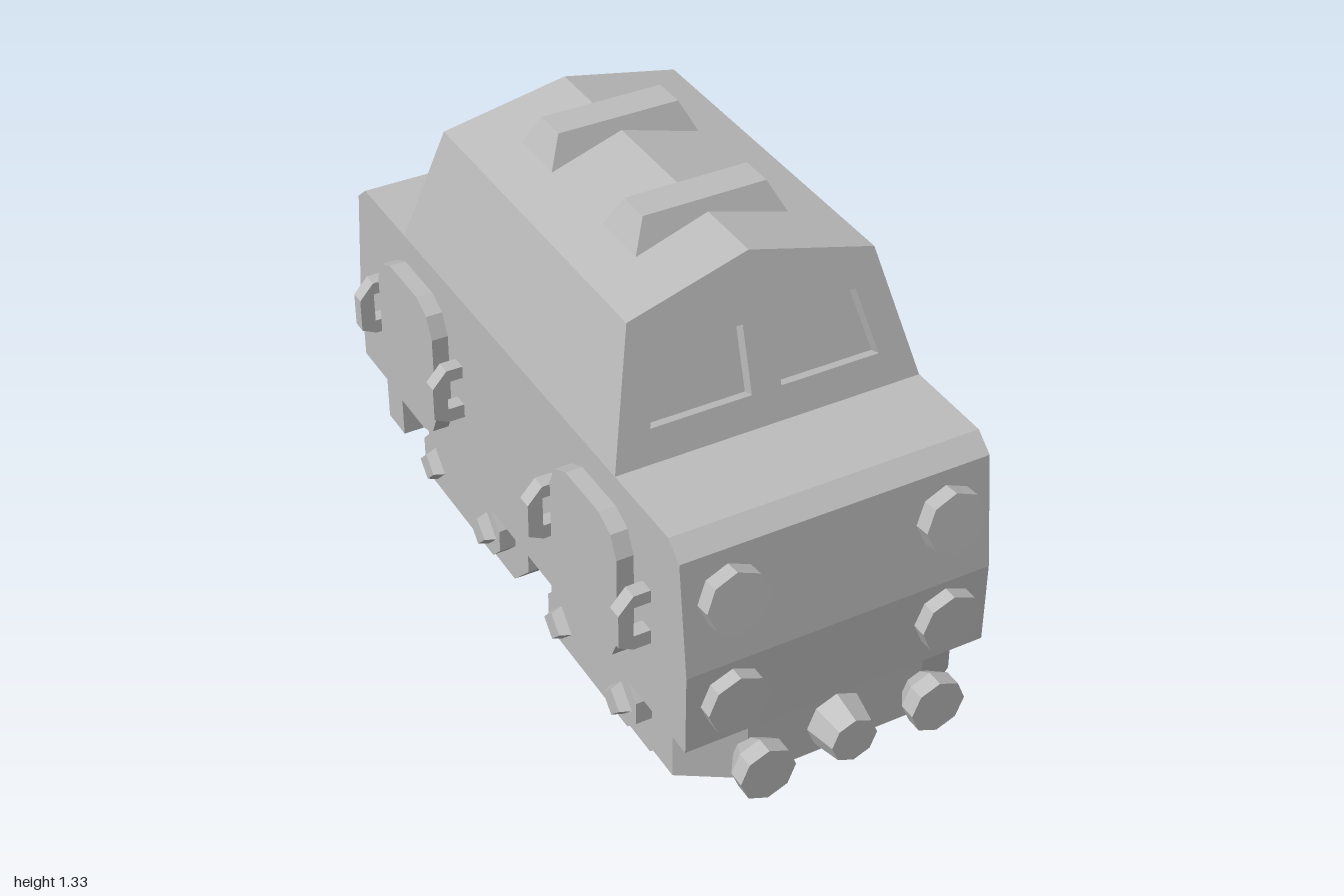
import * as THREE from 'three';

const grey = new THREE.MeshStandardMaterial({ color: 0xbcbcbc, flatShading: true });
grey.name = 'plain grey';

const poly = (pts) => new THREE.Shape(pts.map(([x, y]) => new THREE.Vector2(x, y)));

function add(parent, name, geometry, x = 0, y = 0, z = 0) {
  const mesh = new THREE.Mesh(geometry, grey);
  mesh.name = name;
  mesh.position.set(x, y, z);
  parent.add(mesh);
  return mesh;
}

// Extrusion centred on its depth
function slab(shape, depth) {
  const g = new THREE.ExtrudeGeometry(shape, { depth, bevelEnabled: false, curveSegments: 2 });
  return g.translate(0, 0, -depth / 2);
}
// Same, with the depth running along x
const sideSlab = (shape, depth) => slab(shape, depth).rotateY(Math.PI / 2);

// Eight-sided disc facing +z, a vertex at the top
const disc = (rFront, rBack, depth) =>
  new THREE.CylinderGeometry(rFront, rBack, depth, 8).rotateX(Math.PI / 2);
// Eight-sided roller along x, flat side down
const roller = (r, length) =>
  new THREE.CylinderGeometry(r, r, length, 8, 1, false, Math.PI / 8).rotateZ(Math.PI / 2);

function octagonShape(w, h, c) {
  return poly([[-w, -h + c], [-w + c, -h], [w - c, -h], [w, -h + c],
    [w, h - c], [w - c, h], [-w + c, h], [-w, h - c]]);
}

function roundedShape(w, h, r) {
  const s = new THREE.Shape();
  s.moveTo(-w + r, -h);
  s.lineTo(w - r, -h).quadraticCurveTo(w - r * 0.15, -h + r * 0.15, w, -h + r);
  s.lineTo(w, h - r).quadraticCurveTo(w - r * 0.15, h - r * 0.15, w - r, h);
  s.lineTo(-w + r, h).quadraticCurveTo(-w + r * 0.15, h - r * 0.15, -w, h - r);
  s.lineTo(-w, -h + r).quadraticCurveTo(-w + r * 0.15, -h + r * 0.15, -w + r, -h);
  return s;
}

// Cabin: a cross-section run along z, its ends leaning inwards
const SLOPE = 0.29, WALL = 0.035;
const cabinEnd = (y) => 0.58 - (y - 0.88) * SLOPE;
const cabinOutline = () => poly([[-0.415, 0.88], [0.415, 0.88], [0.33, 1.22], [0, 1.3], [-0.33, 1.22]]);

function mapCabin(shape, rule) {
  const g = new THREE.ExtrudeGeometry(shape, { depth: 1, bevelEnabled: false });
  const p = g.attributes.position;
  for (let i = 0; i < p.count; i++) {
    const [y, z] = rule(p.getY(i), p.getZ(i));
    p.setY(i, y);
    p.setZ(i, z);
  }
  g.computeVertexNormals();
  return g;
}

function cabinCore() {
  return mapCabin(cabinOutline(), (y, t) => [y, (2 * t - 1) * (cabinEnd(y) - WALL)]);
}

function cabinEndWall() {
  const shape = cabinOutline();
  for (const s of [-1, 1]) {
    shape.holes.push(poly([[0.04 * s, 0.965], [0.31 * s, 0.965], [0.267 * s, 1.135], [0.04 * s, 1.135]]));
  }
  return mapCabin(shape, (y, t) => {
    const z = cabinEnd(y) - WALL * (1 - t);
    // window reveals run square to the leaning wall
    if (y > 0.95 && y < 1.15 && t < 0.5) {
      const drop = WALL * SLOPE;
      return [y - drop, cabinEnd(y - drop) - WALL];
    }
    return [y, z];
  });
}

// Roof block, narrower at the top
function roofBlock() {
  const g = new THREE.BoxGeometry(0.41, 0.08, 0.165);
  const p = g.attributes.position;
  for (let i = 0; i < p.count; i++) {
    if (p.getY(i) > 0) p.setXYZ(i, p.getX(i) * 0.81, p.getY(i), p.getZ(i) * 0.55);
  }
  g.computeVertexNormals();
  return g;
}

// Everything that repeats at front and back
function createEnd() {
  const end = new THREE.Group();
  end.name = 'vehicleEnd';
  add(end, 'windowWall', cabinEndWall());
  const skirt = poly([[0.395, 0.72], [0.395, 0.82], [0.245, 0.914], [-0.245, 0.914], [-0.395, 0.82],
    [-0.395, 0.72], [-0.305, 0.72], [-0.305, 0.775], [-0.22, 0.825], [0.22, 0.825], [0.305, 0.775], [0.305, 0.72]]);
  add(end, 'skirt', slab(skirt, 0.165).rotateX(Math.PI / 2), 0, 0.2195, 0);
  add(end, 'coupling', disc(0.063, 0.083, 0.1), 0, 0.22, 0.95);
  for (const s of [-1, 1]) {
    add(end, 'upperLamp', disc(0.083, 0.083, 0.06), 0.293 * s, 0.72, 0.91).rotation.x = -0.13;
    add(end, 'lowerLamp', disc(0.083, 0.083, 0.06), 0.293 * s, 0.427, 0.925);
    add(end, 'bufferHead', disc(0.075, 0.075, 0.045), 0.238 * s, 0.22, 0.9775);
    add(end, 'bufferStem', disc(0.075, 0.038, 0.055), 0.238 * s, 0.22, 0.9275);
  }
  return end;
}

// Wheel set with two axles and a frame on each side
function createBogie() {
  const bogie = new THREE.Group();
  bogie.name = 'bogie';
  for (const z of [-0.16, 0.16]) {
    add(bogie, 'axleDrum', roller(0.098, 0.52), 0, 0.15, z);
    for (const s of [-1, 1]) {
      add(bogie, 'wheel', roller(0.162, 0.085), 0.2925 * s, 0.15, z);
      const hub = new THREE.CylinderGeometry(0.042, 0.055, 0.03, 4).rotateZ(-Math.PI / 2 * s);
      add(bogie, 'hub', hub, 0.395 * s, 0.15, z);
    }
  }
  for (const s of [-1, 1]) {
    add(bogie, 'sideFrame', sideSlab(octagonShape(0.235, 0.078, 0.045), 0.05), 0.356 * s, 0.157, 0);
    add(bogie, 'frameMount', new THREE.BoxGeometry(0.05, 0.08, 0.17), 0.356 * s, 0.265, 0);
  }
  return bogie;
}

export function createModel() {
  const model = new THREE.Group();
  model.name = 'railVehicle';

  // Lower body, profile along z
  const half = [[0.915, 0.3], [0.917, 0.53], [0.88, 0.84], [0.83, 0.882]];
  const profile = [...half, ...half.map(([z, y]) => [-z, y]).reverse()];
  add(model, 'body', sideSlab(poly(profile), 0.83));

  // Cabin and roof
  add(model, 'cabin', cabinCore());
  for (const z of [-0.213, 0.213]) add(model, 'roofBlock', roofBlock(), 0, 1.29, z);

  // Doors and grab handles
  const handleShape = poly([[0.41, 0.51], [0.46, 0.51], [0.5, 0.53], [0.5, 0.625], [0.46, 0.67],
    [0.41, 0.67], [0.41, 0.635], [0.46, 0.635], [0.46, 0.55], [0.41, 0.55]]);
  for (const turn of [0, Math.PI]) {
    const side = new THREE.Group();
    side.name = turn ? 'rightSide' : 'leftSide';
    side.rotation.y = turn;
    for (const z of [-0.5, 0.5]) {
      add(side, 'door', sideSlab(roundedShape(0.168, 0.21, 0.085), 0.06), 0.43, 0.59, z);
      for (const d of [-0.23, 0.23]) add(side, 'handle', slab(handleShape, 0.04), 0, 0, z + d);
    }
    model.add(side);
  }

  // Running gear
  add(model, 'belly', new THREE.BoxGeometry(0.5, 0.165, 0.24), 0, 0.218, 0);
  for (const z of [-0.377, 0.377]) {
    const bogie = createBogie();
    bogie.position.z = z;
    model.add(bogie);
  }

  // Front and back ends
  for (const turn of [0, Math.PI]) {
    const end = createEnd();
    end.rotation.y = turn;
    model.add(end);
  }
  return model;
}
